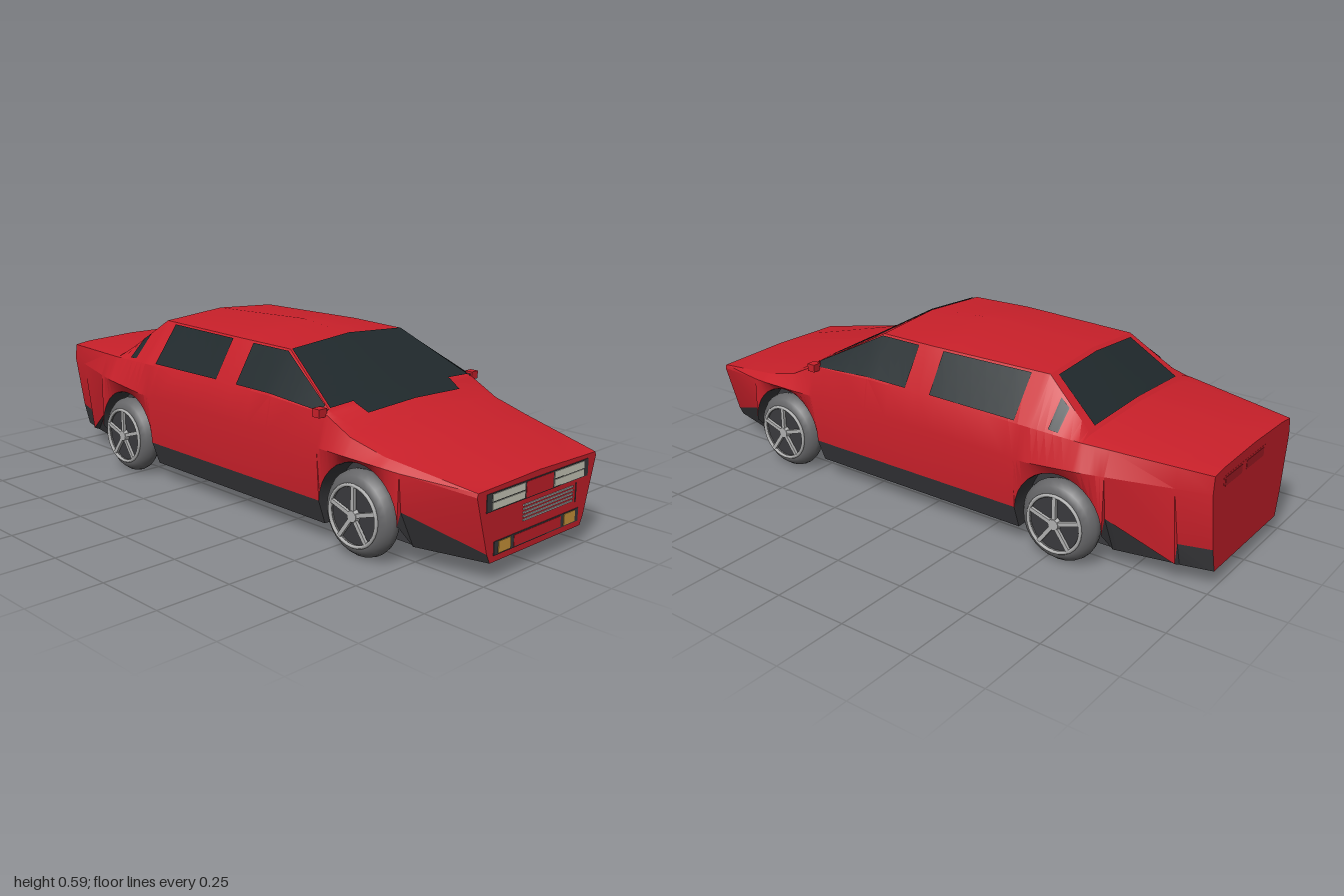
import * as THREE from 'three';
import { toCreasedNormals } from 'three/addons/utils/BufferGeometryUtils.js';

const mat = (color) => new THREE.MeshStandardMaterial({ color, side: THREE.DoubleSide });
const red = mat(0xc9202a), dark = mat(0x3a3a3d), glass = mat(0x20292c), tyreGrey = mat(0x666668);
const silver = mat(0xb0b0b0), cream = mat(0xcfd0c0), amber = mat(0xd0993c), lampRed = mat(0xa81c26);

// z, belt x y, waist x y, roof edge x y, centre y
const upper = [
  [-1, .265, .33, .26, .385, .2, .392, .397],
  [-.61, .374, .33, .338, .41, .29, .422, .432],
  [-.43, .37, .31, .345, .415, .24, .555, .572],
  [0, .365, .31, .345, .42, .262, .558, .591],
  [.22, .366, .31, .345, .42, .255, .555, .573],
  [.47, .372, .31, .345, .41, .33, .418, .432],
  [.57, .375, .31, .343, .36, .3, .368, .378],
  [.7, .366, .305, .335, .328, .25, .342, .352],
  [.995, .287, .268, .283, .28, .15, .283, .287],
];
// z, floor edge x, sill bottom x, sill top x y
const lower = [
  [-1, .2, .215, .235, .14], [-.9, .22, .24, .264, .14], [-.895, .22, .24, .262, .07],
  [-.695, .27, .28, .338, .19], [-.385, .27, .33, .358, .14], [.455, .27, .33, .358, .14],
  [.765, .27, .28, .338, .18], [.995, .21, .22, .235, .09],
];
const FRONT = .61, REAR = -.54, ARCH = .155, FLOOR = .06;

function sample(keys, z) {
  let k = 0;
  while (k < keys.length - 2 && z > keys[k + 1][0]) k++;
  const a = keys[k], b = keys[k + 1], t = (z - a[0]) / (b[0] - a[0]);
  return a.map((v, j) => v + (b[j] - v) * t);
}

// Half cross-section, from the middle of the floor round to the middle of the roof
function section(z) {
  const [, bx, by, wx, wy, rx, ry, cy] = sample(upper, z);
  let [, f, xl, xs, ys] = sample(lower, z);
  let ya = FLOOR;
  for (const c of [FRONT, REAR]) {
    const d = Math.abs(z - c);
    if (d <= ARCH + 1e-6) {
      ya = .135 + Math.sqrt(Math.max(0, ARCH * ARCH - d * d));
      xl = .345;
      xs = Math.max(xs, .352);
      ys = ya + .003;
    }
  }
  return [[0, FLOOR], [f, FLOOR], [f, ya], [xl, ya], [xs, ys], [bx, by], [wx, wy], [rx, ry], [0, cy]];
}

function pointOn(z, i, t, off) {
  const s = section(z), a = s[i], b = s[i + 1];
  const dx = b[0] - a[0], dy = b[1] - a[1], l = Math.hypot(dx, dy) || 1;
  const x = a[0] + dx * t + dy / l * off;
  return [i === 7 && t === 1 ? 0 : x, a[1] + dy * t - dx / l * off, z];
}

function pushTri(out, a, b, c) {
  out.push(...a, ...b, ...c);
  for (const p of [a, c, b]) out.push(-p[0], p[1], p[2]);
}

// Mirrored strip of skin between section points i and i + 1
function strip(out, i, zs, t0 = 0, t1 = 1, off = 0) {
  for (let k = 0; k < zs.length - 1; k++) {
    const A = pointOn(zs[k], i, t0, off), B = pointOn(zs[k + 1], i, t0, off);
    const C = pointOn(zs[k + 1], i, t1, off), D = pointOn(zs[k], i, t1, off);
    pushTri(out, A, D, C);
    pushTri(out, A, C, B);
  }
}

function skin(group, name, positions, material) {
  const g = new THREE.BufferGeometry();
  g.setAttribute('position', new THREE.Float32BufferAttribute(positions, 3));
  add(group, name, toCreasedNormals(g, .4), material);
}

function add(group, name, geometry, material, x = 0, y = 0, z = 0) {
  const m = new THREE.Mesh(geometry, material);
  m.name = name;
  m.position.set(x, y, z);
  group.add(m);
  return m;
}

const range = (a, b, n) => Array.from({ length: n + 1 }, (_, i) => a + (b - a) * i / n);

function buildBody(car) {
  const set = new Set([...upper, ...lower].map((k) => k[0]));
  for (const c of [FRONT, REAR]) {
    for (let i = 0; i <= 16; i++) set.add(c - ARCH * Math.cos(Math.PI * i / 16));
    set.add(c - ARCH - .001).add(c + ARCH + .001);
  }
  for (const z of range(-.35, .42, 8)) set.add(z);
  const zs = [...set].sort((a, b) => a - b);

  // Painted shell with end caps
  const shell = [];
  for (let i = 4; i < 8; i++) strip(shell, i, zs);
  for (const z of [-1, .995]) {
    const p = section(z).map(([x, y]) => [x, y, z]);
    for (let i = 0; i < 8; i++) {
      if (z > 0) pushTri(shell, [0, .2, z], p[i], p[i + 1]);
      else pushTri(shell, [0, .2, z], p[i + 1], p[i]);
    }
  }
  skin(car, 'bodyShell', shell, red);

  // Sills, wheel wells and underside
  const trim = [], pan = [];
  for (let i = 1; i < 4; i++) strip(trim, i, zs);
  for (const [a, b] of [[-.7, -.35], [.42, .78]]) strip(trim, 0, [a, b]);
  for (const [a, b] of [[-1, -.7], [-.35, .42], [.78, .995]]) strip(pan, 0, [a, b]);
  skin(car, 'sillsAndWheelWells', trim, dark);
  skin(car, 'floorPan', pan, red);

  // Glass laid just over the shell
  const panes = [
    ['windshield', 7, .225, .466, .02, 1], ['windshieldBase', 7, .466, .52, .32, 1],
    ['frontSideWindows', 6, .06, .45, .04, .95], ['rearSideWindows', 6, -.37, -.04, .04, .95],
    ['quarterWindows', 6, -.525, -.49, .08, .9], ['rearWindow', 7, -.6, -.445, .12, 1],
  ];
  for (const [name, i, a, b, t0, t1] of panes) {
    const out = [], cuts = range(a, b, 6);
    if (a < .22 && b > .22) cuts.push(.22);
    strip(out, i, cuts.sort((p, q) => p - q), t0, t1, .004);
    skin(car, name, out, glass);
  }
}

function buildWheel() {
  const wheel = new THREE.Group();
  // Tyre turned about x, with a rounded tread
  const profile = [[0, -.042], [.06, -.042], [.095, -.04], [.12, -.03], [.132, -.014], [.135, 0],
    [.132, .014], [.12, .03], [.104, .04], [.094, .04], [.09, .03], [0, .03]];
  const tyre = new THREE.LatheGeometry(profile.map(([r, y]) => new THREE.Vector2(r, y)), 28);
  add(wheel, 'tyre', toCreasedNormals(tyre.rotateZ(-Math.PI / 2), .7), tyreGrey);
  add(wheel, 'rimBack', new THREE.CylinderGeometry(.09, .09, .004, 28).rotateZ(Math.PI / 2), dark, .032);
  add(wheel, 'rimRing', new THREE.TorusGeometry(.094, .006, 6, 28).rotateY(Math.PI / 2), silver, .043);
  add(wheel, 'hub', new THREE.CylinderGeometry(.018, .022, .016, 12).rotateZ(-Math.PI / 2), silver, .041);
  for (let i = 0; i < 5; i++) {
    const spoke = add(wheel, 'spoke', new THREE.BoxGeometry(.01, .085, .013).translate(0, .05, 0), silver, .042);
    spoke.rotation.x = i * Math.PI * 2 / 5;
  }
  return wheel;
}

export function createModel() {
  const car = new THREE.Group();
  car.name = 'saloonCar';
  buildBody(car);

  for (const [z, end] of [[FRONT, 'front'], [REAR, 'rear']]) {
    for (const side of [1, -1]) {
      const w = buildWheel();
      w.name = end + (side > 0 ? 'LeftWheel' : 'RightWheel');
      w.position.set(side * .328, .135, z);
      if (side < 0) w.rotation.y = Math.PI;
      car.add(w);
    }
  }

  // Flat panel on the nose or tail, given by its x and y limits
  const panel = (name, x0, x1, y0, y1, depth, material, face = .995) =>
    add(car, name, new THREE.BoxGeometry(x1 - x0, y1 - y0, depth * 2), material, (x0 + x1) / 2, (y0 + y1) / 2, face);

  panel('headlightFrame', -.245, .245, .214, .268, .002, dark);
  panel('noseCentre', -.065, .065, .217, .265, .003, red);
  panel('bumperFrame', -.205, .205, .079, .121, .002, dark);
  panel('bumperCentre', -.114, .114, .083, .117, .003, red);
  for (const s of [1, -1]) {
    for (const y of [.2285, .2535]) {
      panel('headlight', s * .146 - .075, s * .146 + .075, y - .011, y + .011, .004, cream);
    }
    panel('indicator', s * .158 - .028, s * .158 + .028, .083, .118, .004, amber);
    // Door mirrors
    add(car, 'mirrorStem', new THREE.BoxGeometry(.042, .014, .02), dark, s * .321, .414, .455);
    add(car, 'mirror', new THREE.BoxGeometry(.032, .026, .03), red, s * .356, .415, .455);
  }
  for (let i = 0; i < 5; i++) {
    panel('grilleSlat', -.075, .17, .149 + i * .0112, .154 + i * .0112, .004, silver);
  }
  panel('grilleEdge', .186, .189, .143, .203, .002, dark);

  // Tail light band
  panel('tailBand', -.08, .2, .322, .362, .001, red, -.9995);
  panel('tailLightLeft', .08, .19, .328, .356, .002, lampRed, -.9995);
  panel('tailLightRight', -.07, .05, .328, .356, .002, lampRed, -.9995);
  return car;
}
